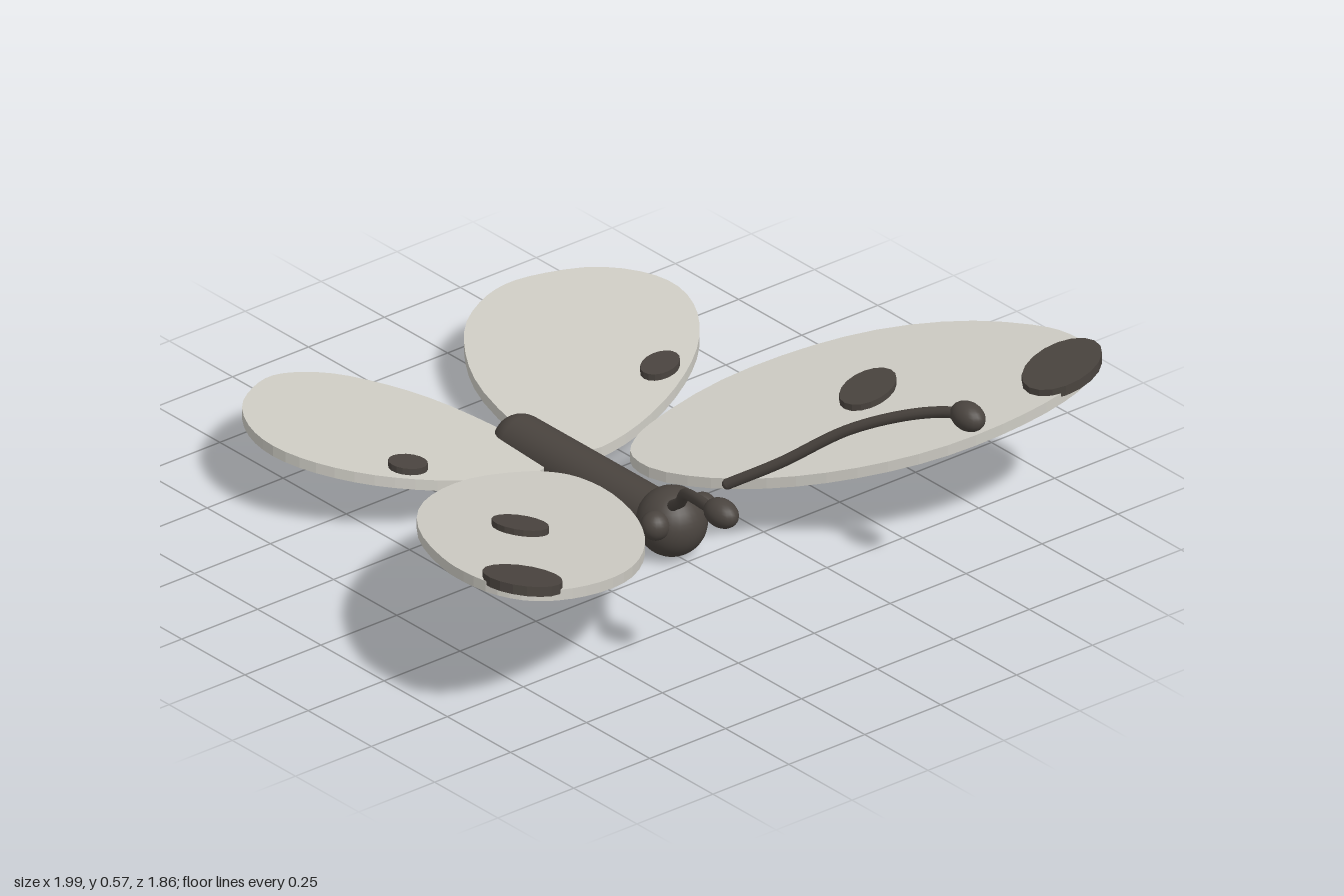
import * as THREE from 'three';

export function createModel() {
  const model = new THREE.Group();
  model.name = 'butterfly';

  const wingMat = new THREE.MeshStandardMaterial({ color: 0xcfcdc5 });
  wingMat.name = 'pale grey wing';
  const darkMat = new THREE.MeshStandardMaterial({ color: 0x4a443f });
  darkMat.name = 'dark brown';

  const add = (name, geometry, material, parent = model) => {
    const mesh = new THREE.Mesh(geometry, material);
    mesh.name = name;
    parent.add(mesh);
    return mesh;
  };

  // Plate with an (x, z) outline, sheared onto the plane y = a + b|x| + cz
  const tiltedPlate = (outline, side, [a, b, c], lift, thickness) => {
    const shape = new THREE.Shape(outline.map(([x, z]) => new THREE.Vector2(side * x, -z)));
    const g = new THREE.ExtrudeGeometry(shape, { depth: thickness, bevelEnabled: false });
    g.rotateX(-Math.PI / 2);
    const p = g.attributes.position;
    for (let i = 0; i < p.count; i++) {
      p.setY(i, p.getY(i) + lift + a + b * side * p.getX(i) + c * p.getZ(i));
    }
    g.computeVertexNormals();
    return g;
  };

  const smoothLoop = (points) =>
    new THREE.CatmullRomCurve3(points.map(([x, z]) => new THREE.Vector3(x, 0, z)), true)
      .getPoints(48).slice(0, -1).map((v) => [v.x, v.z]);

  const ellipse = (x, z, rx, rz, n = 18) =>
    Array.from({ length: n }, (_, i) => {
      const t = (i / n) * Math.PI * 2;
      return [x + rx * Math.cos(t), z + rz * Math.sin(t)];
    });

  const wings = [
    {
      name: 'frontWing',
      plane: [0.09, 0.29, 0.06],
      outline: [[0.2, -0.14], [0.39, -0.12], [0.583, -0.037], [0.754, 0.09], [0.893, 0.267],
        [0.98, 0.465], [0.997, 0.56], [0.985, 0.665], [0.93, 0.725], [0.834, 0.738],
        [0.684, 0.706], [0.513, 0.626], [0.353, 0.497], [0.219, 0.337], [0.123, 0.16],
        [0.08, 0], [0.096, -0.092], [0.14, -0.127]],
      spots: [[0.572, 0.275, 0.076, 0.068], [0.888, 0.663, 0.107, 0.094]],
    },
    {
      name: 'hindWing',
      plane: [0.045, 0.18, -0.04],
      outline: [[0.025, -0.48], [0.07, -0.668], [0.14, -0.8], [0.22, -0.888], [0.315, -0.93],
        [0.39, -0.932], [0.48, -0.893], [0.583, -0.813], [0.652, -0.695], [0.668, -0.588],
        [0.636, -0.48], [0.556, -0.374], [0.444, -0.294], [0.3, -0.235], [0.166, -0.214],
        [0.075, -0.23], [0.03, -0.3], [0.015, -0.39]],
      spots: [[0.415, -0.358, 0.054, 0.045]],
    },
  ];

  // Body and head
  const body = add('body', new THREE.CapsuleGeometry(0.072, 0.528, 10, 28), darkMat);
  body.rotation.x = Math.PI / 2;
  body.position.set(0, 0.076, -0.144);
  add('head', new THREE.SphereGeometry(0.092, 28, 20), darkMat).position.set(0, 0.094, 0.187);

  for (const side of [1, -1]) {
    const half = new THREE.Group();
    half.name = side > 0 ? 'leftSide' : 'rightSide';
    model.add(half);

    // Wings with raised spots
    for (const w of wings) {
      add(w.name, tiltedPlate(smoothLoop(w.outline), side, w.plane, 0, 0.03), wingMat, half);
      for (const s of w.spots) {
        add(w.name + 'Spot', tiltedPlate(ellipse(...s), side, w.plane, 0.02, 0.028), darkMat, half);
      }
    }

    // Eye
    add('eye', new THREE.SphereGeometry(0.039, 20, 14), darkMat, half)
      .position.set(side * 0.077, 0.118, 0.215);

    // Antenna with a club at its tip
    const path = new THREE.CatmullRomCurve3(
      [[0.09, 0.215, 0.3], [0.165, 0.3, 0.42], [0.267, 0.415, 0.56], [0.35, 0.488, 0.7],
        [0.397, 0.525, 0.81], [0.406, 0.535, 0.87]]
        .map(([x, y, z]) => new THREE.Vector3(side * x, y, z)));
    add('antenna', new THREE.TubeGeometry(path, 30, 0.015, 10), darkMat, half);
    const start = add('antennaBase', new THREE.SphereGeometry(0.015, 10, 8), darkMat, half);
    start.position.copy(path.getPoint(0));
    const club = add('antennaClub', new THREE.SphereGeometry(0.038, 18, 14), darkMat, half);
    club.scale.z = 1.42;
    club.position.copy(path.getPoint(1));
  }

  return model;
}
